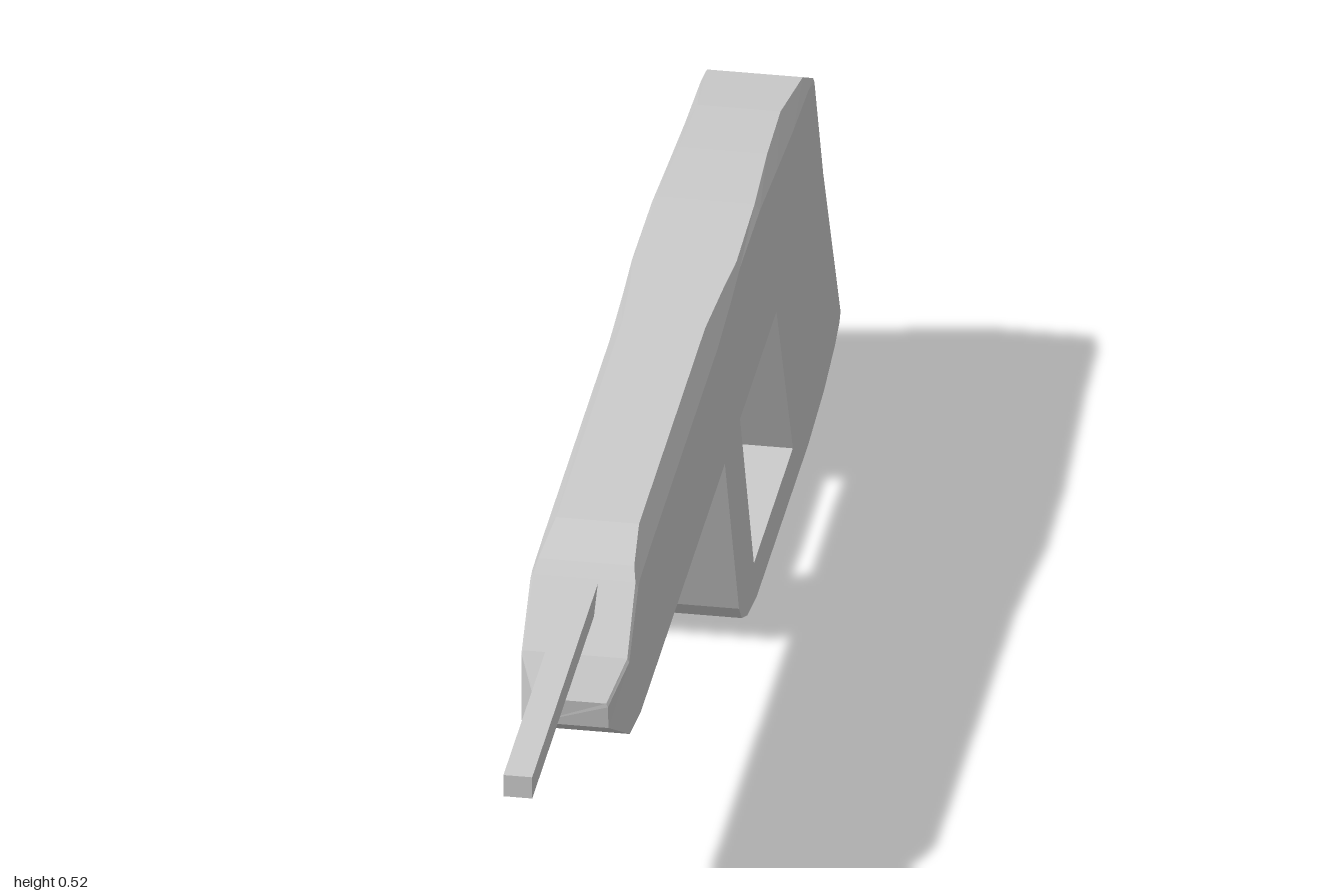
import * as THREE from 'three';

const material = new THREE.MeshStandardMaterial({ color: 0xcccccc, flatShading: true });
const CENTRE_X = -0.0035;
const HALF = 0.0675;

// Joins six-sided rings, front to back, into a closed flat-faced skin
function loft(rings) {
  const pos = [];
  const tri = (...pts) => pts.forEach((p) => pos.push(...p));
  const n = rings[0].length;
  for (let i = 0; i < rings.length - 1; i++) {
    for (let j = 0; j < n; j++) {
      const k = (j + 1) % n;
      const [a, b, c, d] = [rings[i][j], rings[i][k], rings[i + 1][k], rings[i + 1][j]];
      tri(a, c, b);
      tri(a, d, c);
    }
  }
  const first = rings[0], last = rings[rings.length - 1];
  for (let j = 1; j < n - 1; j++) {
    tri(first[0], first[j], first[j + 1]);
    tri(last[0], last[j + 1], last[j]);
  }
  const geo = new THREE.BufferGeometry();
  geo.setAttribute('position', new THREE.Float32BufferAttribute(pos, 3));
  geo.computeVertexNormals();
  return geo;
}

// One body section: flat bottom, upright sides, bevelled top edges
function section([topZ, bottomZ, bottomY, shoulderY, topY, topHalf, half = HALF]) {
  return [
    [-half, bottomY, bottomZ], [half, bottomY, bottomZ],
    [half, shoulderY, topZ], [topHalf, topY, topZ],
    [-topHalf, topY, topZ], [-half, shoulderY, topZ],
  ];
}

function addMesh(group, name, geo) {
  const mesh = new THREE.Mesh(geo, material);
  mesh.name = name;
  group.add(mesh);
  return mesh;
}

export function createModel() {
  const group = new THREE.Group();
  group.name = 'handTool';

  // Long housing: tapered nose, bevelled top that fills out at mid length, slanted back
  const stations = [
    // topZ, bottomZ, bottomY, shoulderY, topY, topHalf, half
    [0.6, 0.595, 0.34, 0.372, 0.377, 0.044, 0.046],
    [0.568, 0.565, 0.317, 0.42, 0.425, 0.065],
    [0.5, 0.48, 0.302, 0.488, 0.495, 0.064],
    [0.485, 0.46, 0.302, 0.493, 0.51, 0.06],
    [0.4, 0.4, 0.302, 0.495, 0.522, 0.052],
    [-0.1, -0.1, 0.302, 0.495, 0.523, 0.052],
    [-0.2, -0.2, 0.302, 0.505, 0.524, 0.058],
    [-0.27, -0.27, 0.302, 0.516, 0.524, 0.063],
    [-0.42, -0.42, 0.302, 0.514, 0.523, 0.061],
    [-0.55, -0.55, 0.302, 0.5, 0.521, 0.055],
    [-0.67, -0.67, 0.302, 0.488, 0.515, 0.052],
    [-0.79, -0.83, 0.302, 0.481, 0.498, 0.06],
    [-0.832, -0.899, 0.302, 0.469, 0.474, 0.066],
  ];
  addMesh(group, 'housing', loft(stations.map(section))).position.x = CENTRE_X;

  // Grip frame: a slanted loop open to the housing above, with rounded lower corners
  const outline = [
    [-0.155, 0.302], [-0.232, 0.055], [-0.25, 0.032], [-0.29, 0.014], [-0.36, 0.002],
    [-0.75, 0.002], [-0.87, 0.012], [-0.955, 0.029], [-0.99, 0.042], [-1, 0.052],
    [-0.899, 0.302], [-0.545, 0.302], [-0.64, 0.057], [-0.345, 0.057], [-0.27, 0.302],
  ].map(([z, y]) => new THREE.Vector2(-z, y));
  const grip = new THREE.ExtrudeGeometry(new THREE.Shape(outline), {
    depth: 2 * HALF, bevelEnabled: false,
  });
  grip.translate(0, 0, -HALF).rotateY(Math.PI / 2);
  // The left side widens slightly towards the foot
  const p = grip.attributes.position;
  for (let i = 0; i < p.count; i++) {
    if (p.getX(i) > 0) p.setX(i, p.getX(i) + 0.006 * (1 - p.getY(i) / 0.302));
  }
  grip.computeVertexNormals();
  addMesh(group, 'gripFrame', grip).position.x = CENTRE_X;

  // Square rod reaching out of the nose
  addMesh(group, 'rod', new THREE.BoxGeometry(0.036, 0.03, 0.53)).position.set(-0.004, 0.476, 0.735);

  return group;
}
